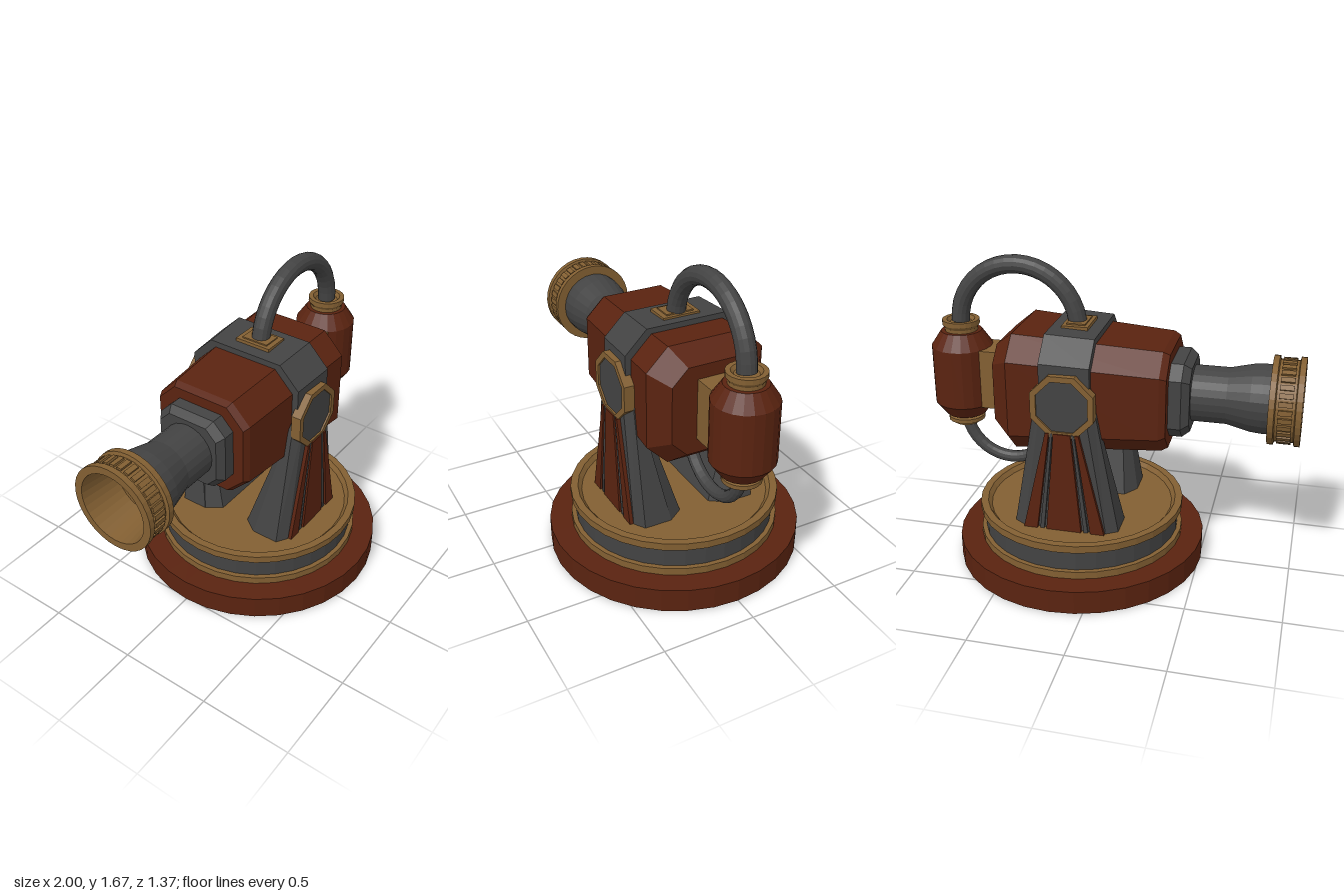
import * as THREE from 'three';

const mat = (name, color) => {
  const m = new THREE.MeshStandardMaterial({ color });
  m.name = name;
  return m;
};

export function createModel() {
  const root = new THREE.Group();
  root.name = 'turret';
  const red = mat('oxide red', 0x5a2310);
  const grey = mat('dark grey', 0x434343);
  const brass = mat('brass', 0x825f32);
  const CX = 0.175; // turntable axis

  const flat = (g) => {
    const f = g.index ? g.toNonIndexed() : g;
    f.computeVertexNormals();
    return f;
  };
  const add = (name, geo, material, x = 0, y = 0, z = 0, parent = root) => {
    const m = new THREE.Mesh(flat(geo), material);
    m.name = name;
    m.position.set(x, y, z);
    parent.add(m);
    return m;
  };
  const lathe = (pts, seg) =>
    new THREE.LatheGeometry(pts.map(([r, y]) => new THREE.Vector2(r, y)), seg);

  // Skin over matching rings of points, capped at both ends
  const loft = (rings) => {
    const n = rings[0].length, pos = rings.flat(2), idx = [];
    for (let r = 0; r < rings.length - 1; r++) {
      for (let i = 0; i < n; i++) {
        const j = (i + 1) % n, a = r * n, b = a + n;
        idx.push(a + i, a + j, b + j, a + i, b + j, b + i);
      }
    }
    const last = (rings.length - 1) * n;
    for (let i = 1; i < n - 1; i++) {
      idx.push(0, i + 1, i, last, last + i, last + i + 1);
    }
    const g = new THREE.BufferGeometry();
    g.setAttribute('position', new THREE.Float32BufferAttribute(pos, 3));
    g.setIndex(idx);
    return g;
  };

  // Chamfered rectangle across the x axis
  const section = (x, hy, hz, c) => [
    [hy, -hz + c], [hy, hz - c], [hy - c, hz], [-hy + c, hz],
    [-hy, hz - c], [-hy, -hz + c], [-hy + c, -hz], [hy - c, -hz],
  ].map(([y, z]) => [x, y, z]);

  // Flat polygon given depth along z
  const plate = (pts, depth, hole) => {
    const s = new THREE.Shape(pts.map(([x, y]) => new THREE.Vector2(x, y)));
    if (hole) s.holes.push(new THREE.Path(hole.map(([x, y]) => new THREE.Vector2(x, y))));
    return new THREE.ExtrudeGeometry(s, { depth, bevelEnabled: false });
  };
  const octagon = (apothem) => Array.from({ length: 8 }, (_, i) => {
    const a = (i + 0.5) * Math.PI / 4, r = apothem / Math.cos(Math.PI / 8);
    return [r * Math.cos(a), r * Math.sin(a)];
  });

  // Base skirt and turntable
  add('baseSkirt', lathe([[0.67, 0], [0.685, 0], [0.685, 0.13], [0.53, 0.13],
    [0.53, 0.118], [0.67, 0.118], [0.67, 0]], 32), red, CX);
  add('lowerRing', lathe([[0.525, 0.125], [0.565, 0.13], [0.565, 0.17],
    [0.525, 0.17], [0.525, 0.125]], 32), brass, CX);
  add('drum', lathe([[0.525, 0.17], [0.54, 0.17], [0.54, 0.29],
    [0.525, 0.29], [0.525, 0.17]], 32), grey, CX);
  add('deck', lathe([[0, 0.285], [0.565, 0.285], [0.565, 0.325], [0.525, 0.325],
    [0.505, 0.3], [0, 0.3]], 32), brass, CX);

  // Support leg with panels and pivot hub, made twice
  const legRing = (y, h, c, z0, z1, z2, z3) => [
    [-h + c, y, z3], [h - c, y, z3], [h, y, z2], [h, y, z1],
    [h - c, y, z0], [-h + c, y, z0], [-h, y, z1], [-h, y, z2],
  ];
  // Slanted strip between two x offsets at the bottom and two at the top
  const strip = (b0, b1, t0, t1, depth) =>
    plate([[b0, 0.295], [b1, 0.295], [t1, 0.86], [t0, 0.86]], depth);
  for (const side of [1, -1]) {
    const leg = new THREE.Group();
    leg.name = side > 0 ? 'frontSupport' : 'backSupport';
    leg.position.x = CX;
    leg.rotation.y = side > 0 ? 0 : Math.PI;
    root.add(leg);
    add('leg', loft([legRing(0.28, 0.287, 0.06, 0.08, 0.165, 0.32, 0.357),
      legRing(1.03, 0.15, 0.04, 0.3, 0.31, 0.32, 0.357)]), grey, 0, 0, 0, leg);
    add('centrePanel', strip(-0.095, 0.095, -0.045, 0.045, 0.025), red, 0, 0, 0.352, leg);
    for (const s of [1, -1]) {
      const e = s > 0 ? [0.145, 0.22, 0.068, 0.088] : [-0.22, -0.145, -0.088, -0.068];
      const r = s > 0 ? [0.109, 0.131, 0.05, 0.063] : [-0.131, -0.109, -0.063, -0.05];
      add('edgePanel', strip(...e, 0.025), red, 0, 0, 0.352, leg);
      add('rib', strip(...r, 0.02), grey, 0, 0, 0.352, leg);
    }
    add('hubRing', plate(octagon(0.165), 0.055, octagon(0.135)), brass, 0, 1.005, 0.315, leg);
    add('hubFace', plate(octagon(0.137), 0.045), grey, 0, 1.005, 0.315, leg);
  }

  // Main housing
  add('housing', loft([section(-0.335, 0.255, 0.26, 0.1), section(-0.3, 0.272, 0.276, 0.105),
    section(0.48, 0.318, 0.322, 0.115), section(0.58, 0.237, 0.237, 0.085)]), red, 0, 1);
  add('housingBand', loft([section(0.04, 0.324, 0.33, 0.115),
    section(0.3, 0.337, 0.342, 0.118)]), grey, 0, 1);
  add('frontCollar', loft([section(-0.44, 0.172, 0.172, 0.06), section(-0.4, 0.2, 0.2, 0.07),
    section(-0.32, 0.2, 0.2, 0.07)]), grey, 0, 1);

  // Barrel and hollow muzzle, turned about the x axis
  const barrel = new THREE.Group();
  barrel.name = 'barrel';
  barrel.position.y = 1;
  barrel.rotation.z = Math.PI / 2;
  root.add(barrel);
  add('barrelTube', lathe([[0.148, 0.42], [0.148, 0.62], [0.176, 0.74],
    [0.181, 0.8], [0.181, 0.84]], 24), grey, 0, 0, 0, barrel);
  add('muzzle', lathe([[0.17, 0.835], [0.23, 0.835], [0.23, 0.865], [0.212, 0.87],
    [0.212, 0.965], [0.23, 0.97], [0.23, 1], [0.19, 1], [0.165, 0.78], [0, 0.78]], 32),
  brass, 0, 0, 0, barrel);
  for (let i = 0; i < 32; i++) {
    const a = (i + 0.5) * Math.PI / 16;
    const tooth = add('muzzleRib', new THREE.BoxGeometry(0.026, 0.07, 0.016), brass,
      0.214 * Math.sin(a), 0.918, 0.214 * Math.cos(a), barrel);
    tooth.rotation.y = a;
  }

  // Rear canister and its bracket
  const TX = 0.835;
  add('canisterBracket', new THREE.BoxGeometry(0.18, 0.325, 0.2), brass, 0.65, 1.003);
  add('canister', lathe([[0, 0.77], [0.11, 0.77], [0.165, 0.845], [0.165, 1.165],
    [0.11, 1.247], [0, 1.247]], 20), red, TX);
  add('canisterTopCap', lathe([[0.088, 1.24], [0.088, 1.265], [0.1, 1.282],
    [0.1, 1.308], [0.075, 1.308], [0.06, 1.29], [0, 1.29]], 20), brass, TX);
  add('canisterBottomCap', lathe([[0, 0.708], [0.068, 0.708], [0.068, 0.725], [0.1, 0.73],
    [0.1, 0.752], [0.08, 0.757], [0.08, 0.775]], 20), brass, TX);

  // Hoses
  const arc = (cx, cy, r, a0, a1) => new THREE.CatmullRomCurve3(
    Array.from({ length: 13 }, (_, i) => {
      const a = a0 + (a1 - a0) * i / 12;
      return new THREE.Vector3(cx + r * Math.cos(a), cy + r * Math.sin(a), 0);
    }));
  add('upperHose', new THREE.TubeGeometry(arc(0.508, 1.298, 0.328, Math.PI, 0), 20, 0.049, 14), grey);
  add('lowerHose', new THREE.TubeGeometry(arc(0.58, 0.768, 0.255, Math.PI, Math.PI * 2), 20, 0.033, 12), grey);

  // Hose mounting plate on the band
  add('hosePlate', new THREE.BoxGeometry(0.14, 0.03, 0.205), brass, CX, 1.33);
  add('hosePlateStep', new THREE.BoxGeometry(0.1, 0.02, 0.15), brass, CX, 1.342);

  return root;
}
